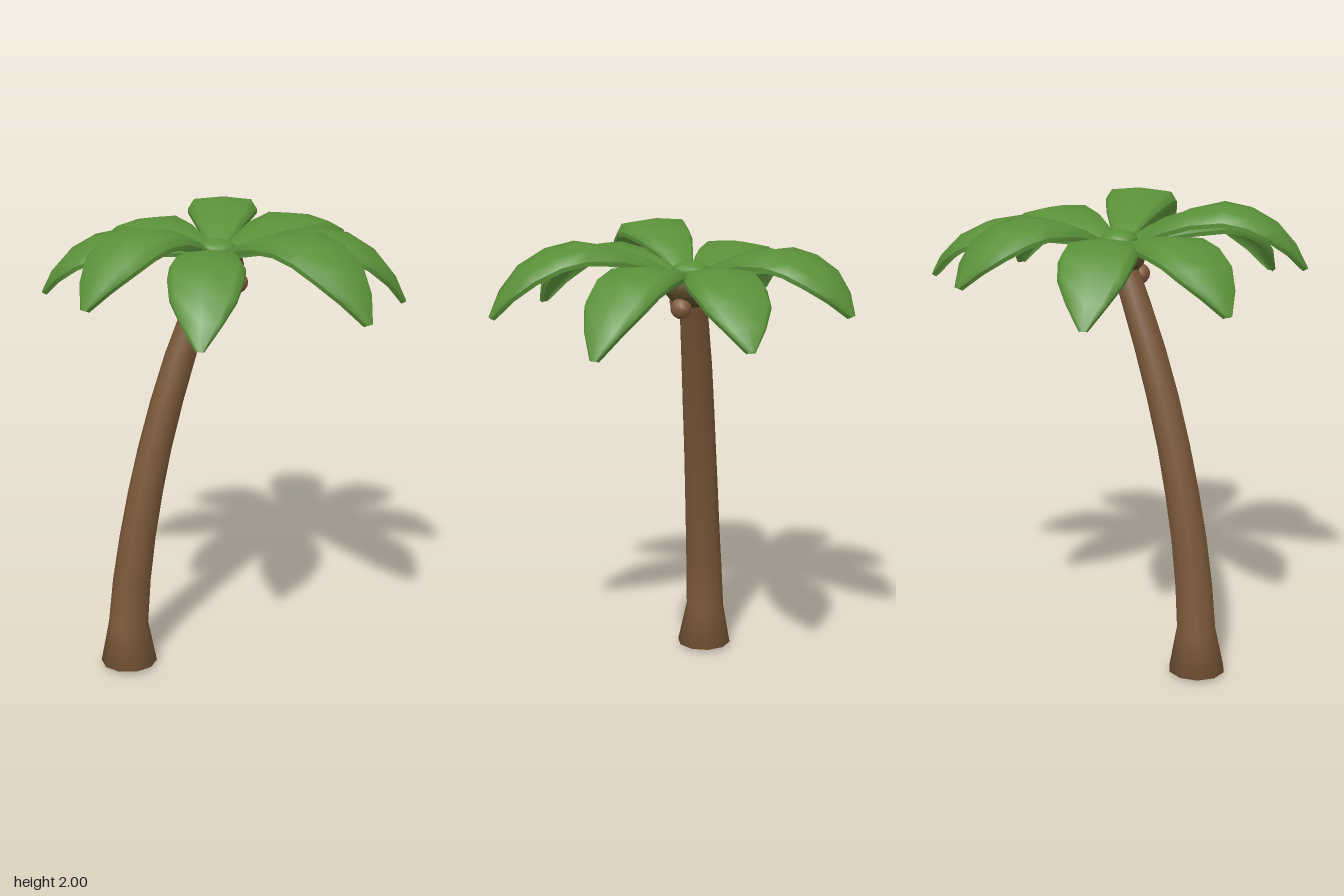
import * as THREE from 'three';

// Surface through rows of [x, y, z] points; closed joins the last column to the first
function loft(rows, closed = false) {
  const n = rows[0].length, cols = closed ? n : n - 1, index = [];
  for (let i = 0; i < rows.length - 1; i++) {
    for (let j = 0; j < cols; j++) {
      const k = (j + 1) % n;
      const a = i * n + j, b = i * n + k, c = a + n, d = b + n;
      index.push(a, b, c, b, d, c);
    }
  }
  const g = new THREE.BufferGeometry();
  g.setAttribute('position', new THREE.Float32BufferAttribute(rows.flat(2), 3));
  g.setIndex(index);
  g.computeVertexNormals();
  return g;
}

// Horizontal ring, wound so that rings stacked upward face outward
function ring(x, y, z, r, sides = 10) {
  return Array.from({ length: sides }, (_, i) => {
    const t = (i / sides) * Math.PI * 2;
    return [x + r * Math.cos(t), y, z - r * Math.sin(t)];
  });
}

export function createModel() {
  const model = new THREE.Group();
  const material = (name, color, side = THREE.FrontSide) => {
    const m = new THREE.MeshStandardMaterial({ color, side });
    m.name = name;
    return m;
  };
  const bark = material('bark brown', 0x7a5838);
  const leafGreen = material('leaf green', 0x5a9139, THREE.DoubleSide);
  const husk = material('husk olive', 0x574a28);
  const nut = material('coconut brown', 0x80593c);

  const add = (parent, name, geometry, mat, x = 0, y = 0, z = 0) => {
    const mesh = new THREE.Mesh(geometry, mat);
    mesh.name = name;
    mesh.position.set(x, y, z);
    parent.add(mesh);
    return mesh;
  };

  // Leaning trunk with a flared foot and closed bottom: x, y, z, radius
  const trunk = [
    [-0.42, 0, 0.12, 0.001], [-0.42, 0.015, 0.12, 0.122], [-0.42, 0.2, 0.115, 0.086],
    [-0.402, 0.4, 0.112, 0.082], [-0.374, 0.6, 0.105, 0.078],
    [-0.338, 0.8, 0.093, 0.075], [-0.295, 1.0, 0.078, 0.072],
    [-0.243, 1.2, 0.059, 0.07], [-0.183, 1.4, 0.036, 0.067],
    [-0.112, 1.6, 0.01, 0.062], [-0.04, 1.78, -0.013, 0.056],
  ];
  add(model, 'trunk', loft(trunk.map((p) => ring(...p)), true), bark);

  // Crown core, leaf hub and three coconuts
  const cx = -0.03, cz = -0.015;
  add(model, 'crownCore', new THREE.SphereGeometry(0.112, 12, 8), husk, cx, 1.775, cz)
    .scale.y = 0.8;
  add(model, 'leafHub', new THREE.SphereGeometry(0.08, 10, 8), leafGreen, cx, 1.842, cz)
    .scale.y = 0.5;
  for (let i = 0; i < 3; i++) {
    const t = (i * Math.PI * 2) / 3;
    add(model, 'coconut', new THREE.SphereGeometry(0.045, 12, 8), nut,
      cx + 0.085 * Math.cos(t), 1.697, cz + 0.085 * Math.sin(t));
  }

  // Frond stations: fraction of length, half width, rise to peak, drop to tip
  const rootY = 1.835;
  const stations = [
    [0.08, 0.035, 0, 0], [0.2, 0.075, 0.42, 0], [0.36, 0.118, 0.8, 0],
    [0.55, 0.15, 1, 0], [0.7, 0.148, 1, 0.09], [0.84, 0.13, 1, 0.32],
    [0.94, 0.08, 1, 0.65], [1, 0.016, 1, 1],
  ];
  // Flat top with folded-down edges: side, height, both in half widths
  const section = [[-1, -0.36], [-0.82, -0.08], [0, 0], [0.82, -0.08], [1, -0.36]];
  const thickness = 0.018;

  function frond(tipX, tipZ, peak, tip) {
    const dx = tipX - cx, dz = tipZ - cz, R = Math.hypot(dx, dz);
    const ux = dx / R, uz = dz / R;
    const path = stations.map(([u, w, rise, drop]) =>
      ({ r: u * R, w, y: rootY + (peak - rootY) * rise - (peak - tip) * drop }));
    const layer = (sink) => path.map((p, i) => {
      const a = path[Math.max(i - 1, 0)], b = path[Math.min(i + 1, path.length - 1)];
      const len = Math.hypot(b.r - a.r, b.y - a.y);
      const nr = -(b.y - a.y) / len, ny = (b.r - a.r) / len;
      return section.map(([s, h]) => {
        const off = h * p.w - sink, r = p.r + nr * off;
        return [cx + ux * r - uz * s * p.w, p.y + ny * off, cz + uz * r + ux * s * p.w];
      });
    });
    const top = layer(0), under = layer(thickness);
    const group = new THREE.Group();
    group.name = 'frond';
    add(group, 'frondTop', loft(top), leafGreen);
    add(group, 'frondUnderside', loft(under.map((row) => [...row].reverse())), leafGreen);
    add(group, 'frondRim', loft(top.map((row, i) => [under[i][0], row[0]])), leafGreen);
    add(group, 'frondRim', loft(top.map((row, i) => [row[4], under[i][4]])), leafGreen);
    model.add(group);
  }

  // Eight fronds: tip x, tip z, peak height, tip height
  [
    [0.76, -0.01, 1.92, 1.62], [0.56, 0.6, 1.98, 1.69],
    [-0.095, 0.77, 1.92, 1.635], [-0.545, 0.57, 2.0, 1.74],
    [-0.76, -0.01, 1.91, 1.66], [-0.52, -0.53, 1.91, 1.63],
    [0.01, -0.77, 1.97, 1.73], [0.54, -0.58, 1.92, 1.67],
  ].forEach((f) => frond(...f));

  return model;
}
